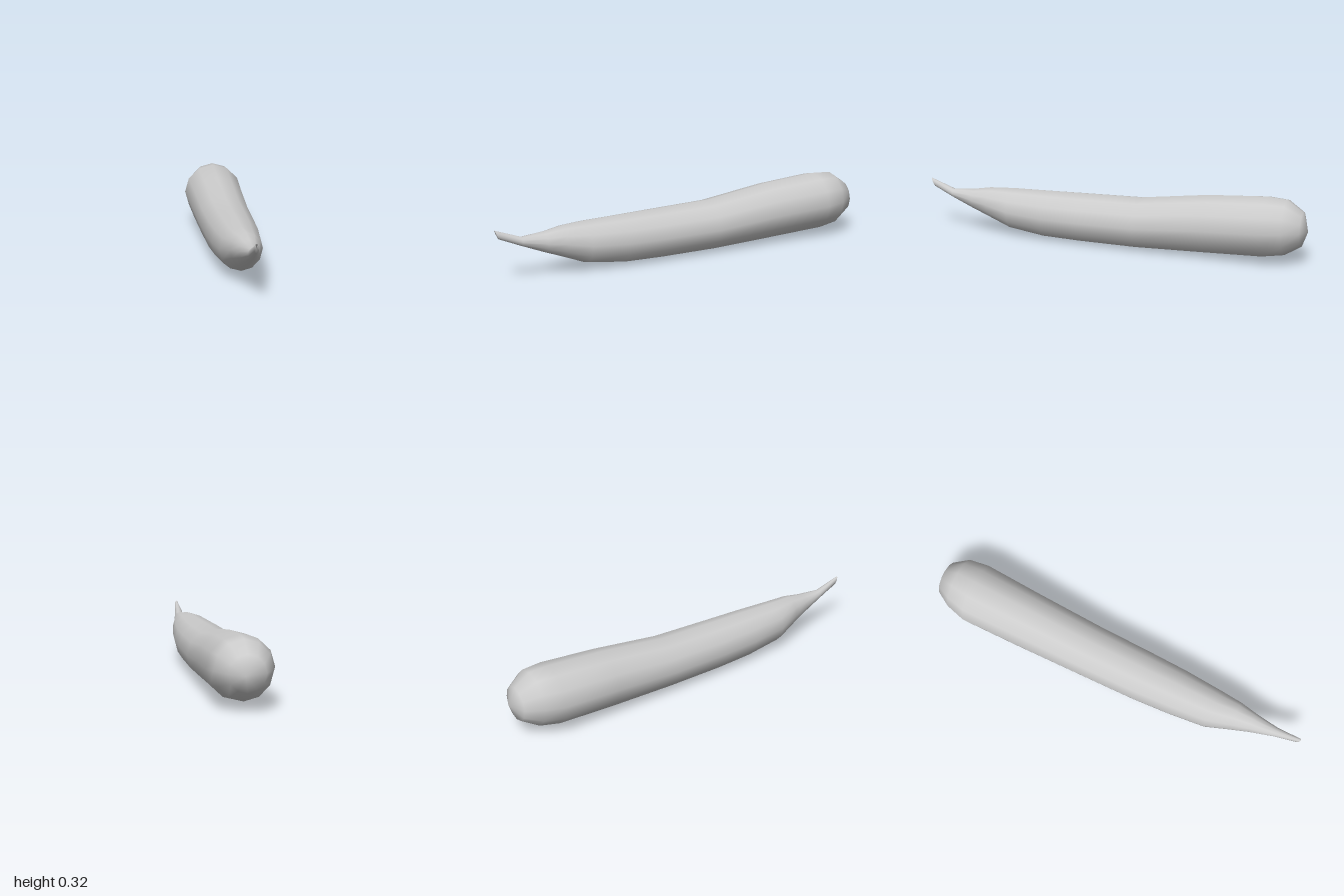
import * as THREE from 'three';

const SIDES = 12;

// Cross-sections from the rounded back end to the stem: z, left/right x, low/high y
const SECTIONS = [
  [-0.97, -0.08, 0.09, 0.09, 0.26],
  [-0.89, -0.13, 0.14, 0.04, 0.315],
  [-0.79, -0.158, 0.156, 0.023, 0.32],
  [-0.5, -0.153, 0.14, 0.01, 0.3],
  [-0.15, -0.143, 0.13, 0, 0.255],
  [0.15, -0.138, 0.12, 0, 0.248],
  [0.35, -0.127, 0.11, 0.005, 0.244],
  [0.54, -0.112, 0.09, 0.03, 0.24],
  [0.66, -0.077, 0.071, 0.08, 0.235],
  [0.75, -0.05, 0.05, 0.115, 0.22],
  [0.87, -0.024, 0.026, 0.165, 0.21],
  [0.99, -0.013, 0.006, 0.212, 0.257],
];

// Skin a row of elliptical sections, closing both ends with a fan
function loft(sections, backCentre, frontCentre) {
  const points = [];
  const index = [];
  sections.forEach(([z, x0, x1, y0, y1], i) => {
    const lean = i === sections.length - 1 ? 0.01 : 0; // slanted stem cut
    for (let j = 0; j < SIDES; j++) {
      const a = (j / SIDES) * Math.PI * 2;
      points.push(
        (x0 + x1) / 2 + ((x1 - x0) / 2) * Math.cos(a),
        (y0 + y1) / 2 + ((y1 - y0) / 2) * Math.sin(a),
        z + lean * Math.sin(a)
      );
    }
  });
  const back = points.length / 3;
  const front = back + 1;
  points.push(...backCentre, ...frontCentre);

  const last = (sections.length - 1) * SIDES;
  for (let j = 0; j < SIDES; j++) {
    const k = (j + 1) % SIDES;
    for (let r = 0; r < last; r += SIDES) {
      index.push(r + j, r + k, r + SIDES + j);
      index.push(r + k, r + SIDES + k, r + SIDES + j);
    }
    index.push(back, k, j);
    index.push(front, last + j, last + k);
  }
  const geometry = new THREE.BufferGeometry();
  geometry.setAttribute('position', new THREE.Float32BufferAttribute(points, 3));
  geometry.setIndex(index);
  geometry.computeVertexNormals();
  return geometry;
}

export function createModel() {
  const group = new THREE.Group();
  group.name = 'vegetable';
  const material = new THREE.MeshStandardMaterial({ color: 0xcccccc });

  // Rounded body tapering into a thin upturned stem
  const body = new THREE.Mesh(loft(SECTIONS, [0.02, 0.17, -1], [-0.004, 0.235, 0.99]), material);
  body.name = 'body';
  group.add(body);
  return group;
}
